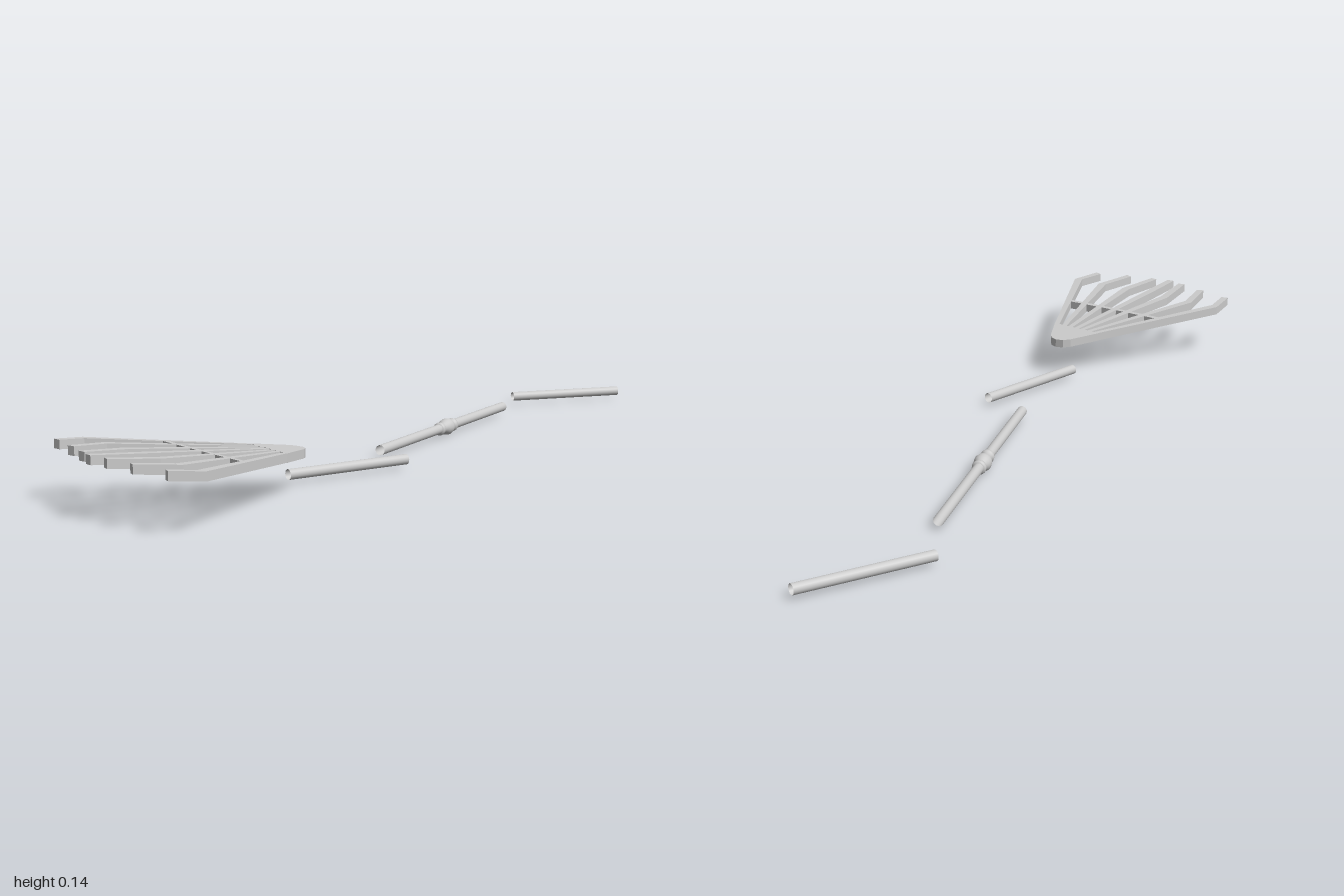
import * as THREE from 'three';

const POLE_Y = 0.022;
const POLE_R = 0.0125;

export function createModel() {
  const group = new THREE.Group();
  const material = new THREE.MeshStandardMaterial({ color: 0xcccccc, side: THREE.DoubleSide });

  const add = (name, geometry) => {
    const mesh = new THREE.Mesh(geometry, material);
    mesh.name = name;
    group.add(mesh);
    return mesh;
  };

  // Lay an upright (y axis) geometry along the ground from a to b, given as [x, z]
  const layAlong = (mesh, a, b) => {
    const start = new THREE.Vector3(a[0], POLE_Y, a[1]);
    const end = new THREE.Vector3(b[0], POLE_Y, b[1]);
    mesh.position.copy(start).lerp(end, 0.5);
    mesh.quaternion.setFromUnitVectors(new THREE.Vector3(0, 1, 0), end.sub(start).normalize());
  };

  // Hollow, open-ended handle pieces
  const poles = [
    ['handleEnd', [-0.386, -0.997], [-0.475, -0.68]],
    ['handleMiddle', [-0.348, -0.545], [0.009, 0.108]],
    ['handleSocket', [0.14, 0.122], [0.14, 0.45]],
  ];
  for (const [name, a, b] of poles) {
    const length = Math.hypot(b[0] - a[0], b[1] - a[1]);
    layAlong(add(name, new THREE.CylinderGeometry(POLE_R, POLE_R, length, 20, 1, true)), a, b);
  }

  // Telescopic joint: a rounded grip between two collars
  const profile = [
    [0.0125, -0.046], [0.0165, -0.044], [0.0175, -0.039], [0.0165, -0.034], [0.0135, -0.032],
    [0.0145, -0.026], [0.0195, -0.018], [0.0215, -0.007], [0.0195, 0.006], [0.0145, 0.015],
    [0.0135, 0.028], [0.016, 0.03], [0.017, 0.035], [0.016, 0.04], [0.0125, 0.042],
  ].map(([r, s]) => new THREE.Vector2(r, s));
  layAlong(add('handleJoint', new THREE.LatheGeometry(profile, 24)), poles[1][1], poles[1][2]);

  // Rake head parts: flat outlines in (x, z), thickened and tilted upward to the front
  const slab = (name, points, thickness = 0.021) => {
    const shape = new THREE.Shape(points.map(([x, z]) => new THREE.Vector2(x, z)));
    const geometry = new THREE.ExtrudeGeometry(shape, { depth: thickness, bevelEnabled: false });
    geometry.rotateX(Math.PI / 2);
    const p = geometry.attributes.position;
    for (let i = 0; i < p.count; i++) {
      p.setY(i, p.getY(i) + 0.095 + 0.087 * (p.getZ(i) - 0.45));
    }
    geometry.computeVertexNormals();
    return add(name, geometry);
  };

  // Outline of a ribbon following a path, with a width for each point
  const ribbon = (path, widths) => {
    const left = [], right = [];
    path.forEach(([x, z], i) => {
      const a = path[Math.max(i - 1, 0)];
      const b = path[Math.min(i + 1, path.length - 1)];
      const dx = b[0] - a[0], dz = b[1] - a[1];
      const k = widths[i] / 2 / Math.hypot(dx, dz);
      left.push([x - dz * k, z + dx * k]);
      right.unshift([x + dz * k, z - dx * k]);
    });
    return [...left, ...right];
  };

  // Fan-shaped plate holding the tines
  slab('headPlate', [
    [0.132, 0.548], [0.165, 0.468], [0.178, 0.452], [0.198, 0.446], [0.216, 0.45],
    [0.232, 0.464], [0.285, 0.54], [0.245, 0.541], [0.207, 0.543], [0.17, 0.546],
  ]);

  // Tines: root, bend and tip
  const tines = [
    [[0.146, 0.535], [0.004, 0.89], [0.023, 0.962]],
    [[0.167, 0.535], [0.086, 0.878], [0.118, 0.973]],
    [[0.188, 0.535], [0.167, 0.87], [0.195, 0.985]],
    [[0.207, 0.535], [0.23, 0.868], [0.24, 0.992]],
    [[0.228, 0.535], [0.303, 0.865], [0.29, 0.977]],
    [[0.248, 0.535], [0.386, 0.858], [0.367, 0.957]],
    [[0.27, 0.53], [0.472, 0.853], [0.457, 0.925]],
  ];
  tines.forEach((path, i) => slab(`tine${i + 1}`, ribbon(path, [0.013, 0.022, 0.019])));

  // Brace across the tines
  slab('crossbar', ribbon([[0.072, 0.727], [0.22, 0.716], [0.372, 0.7]], [0.012, 0.012, 0.012]), 0.0205);

  return group;
}
